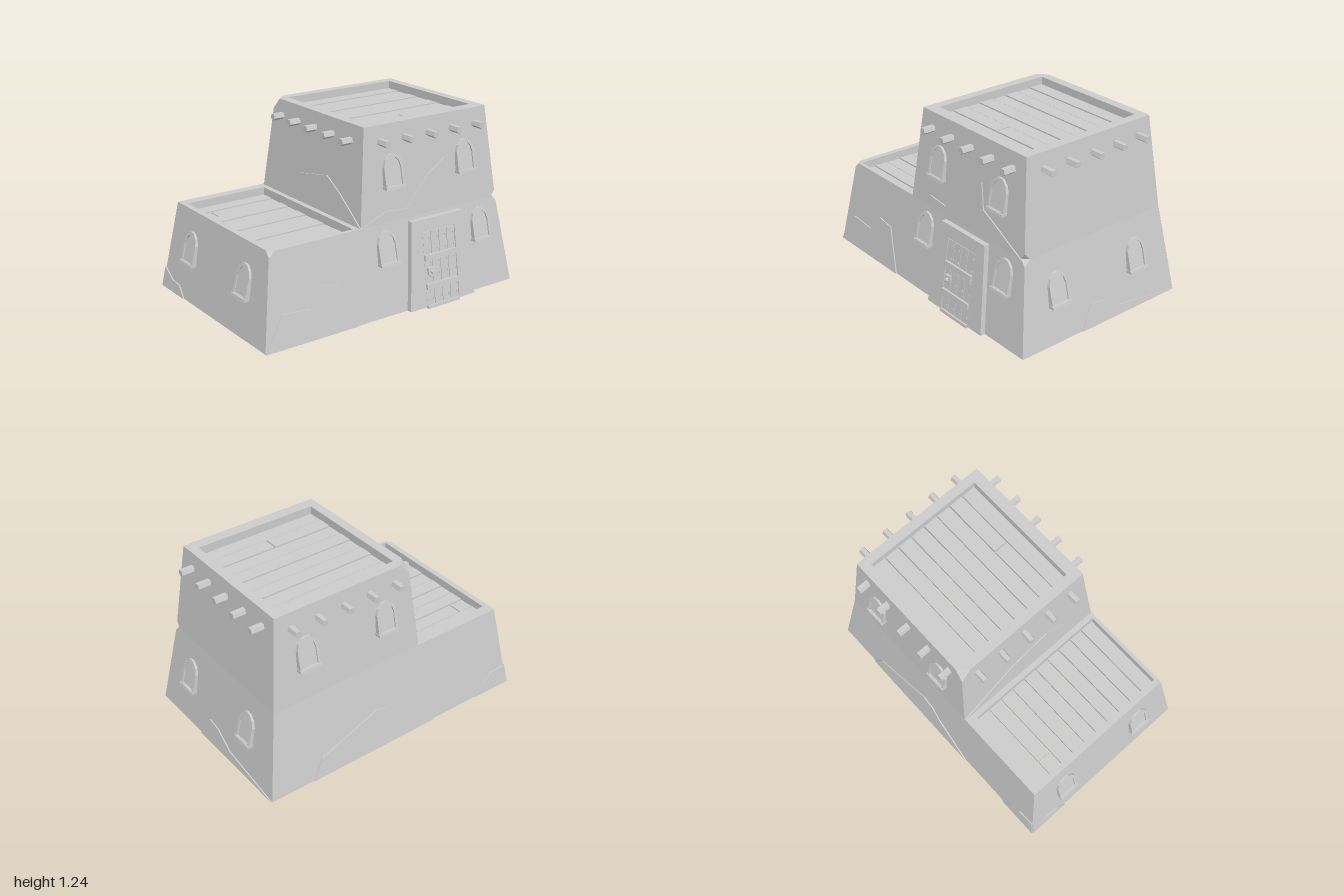
import * as THREE from 'three';

const mat = new THREE.MeshStandardMaterial({ color: 0xcccccc, flatShading: true, side: THREE.DoubleSide });

// Each wall: horizontal axis u, outward normal n, base and top distance of the lower and upper storey
const SIDES = {
  front: { u: [1, 0], n: [0, 1], low: [0.635, 0.545], high: [0.545, 0.48] },
  right: { u: [0, -1], n: [1, 0], low: [1, 0.905], high: [0.905, 0.835] },
  back: { u: [-1, 0], n: [0, -1], low: [0.68, 0.59], high: [0.59, 0.525] },
  left: { u: [0, 1], n: [-1, 0], low: [1, 0.905], high: [0.23, 0.165] },
};
const Y0 = 0.01, Y1 = 0.615, Y2 = 1.24;

function add(parent, name, geometry) {
  const mesh = new THREE.Mesh(geometry, mat);
  mesh.name = name;
  parent.add(mesh);
  return mesh;
}

// Sheared frame lying on a sloping wall: (along, up, outward) -> world
function wallMatrix(side, level, along = 0, y = 0, lean = 0) {
  const { u, n } = SIDES[side], d = SIDES[side][level];
  const ya = level === 'low' ? Y0 : Y1, yb = level === 'low' ? Y1 : Y2;
  const slope = (d[0] - d[1]) / (yb - ya);
  const dist = d[0] - slope * (y - ya);
  const s = slope + lean;
  return new THREE.Matrix4().set(
    u[0], -s * n[0], n[0], u[0] * along + n[0] * dist,
    0, 1, 0, y,
    u[1], -s * n[1], n[1], u[1] * along + n[1] * dist,
    0, 0, 0, 1);
}

function extrude(points, depth, hole) {
  const shape = new THREE.Shape(points.map(p => new THREE.Vector2(...p)));
  if (hole) shape.holes.push(new THREE.Path(hole.map(p => new THREE.Vector2(...p))));
  return new THREE.ExtrudeGeometry(shape, { depth, bevelEnabled: false });
}

function box(w, h, d, x, y, z) {
  return new THREE.BoxGeometry(w, h, d).translate(x, y, z);
}

// Rectangular cross-section; chips cut the corners (front right, back right, back left, front left)
function ring(y, x0, x1, z0, z1, chips = []) {
  const corners = [[x1, z1], [x1, z0], [x0, z0], [x0, z1]];
  const inDir = [[1, 0], [0, -1], [-1, 0], [0, 1]];
  return corners.flatMap(([x, z], k) => {
    const c = chips[k] || 0.003, a = inDir[k], b = inDir[(k + 1) % 4];
    return [[x - a[0] * c, y, z - a[1] * c], [x + b[0] * c, y, z + b[1] * c]];
  });
}

function loft(rings) {
  const pos = [];
  for (let i = 0; i + 1 < rings.length; i++) {
    for (let j = 0; j < 8; j++) {
      const k = (j + 1) % 8;
      const a = rings[i][j], b = rings[i][k], c = rings[i + 1][k], d = rings[i + 1][j];
      pos.push(...a, ...b, ...c, ...a, ...c, ...d);
    }
  }
  const g = new THREE.BufferGeometry();
  g.setAttribute('position', new THREE.Float32BufferAttribute(pos, 3));
  g.computeVertexNormals();
  return g;
}

// Outer wall section at height y of a storey
function wallRing(level, y, chips) {
  const t = level === 'low' ? (y - Y0) / (Y1 - Y0) : (y - Y1) / (Y2 - Y1);
  const at = s => THREE.MathUtils.lerp(...SIDES[s][level], t);
  return ring(y, -at('left'), at('right'), -at('back'), at('front'), chips);
}

// Plank deck, with optional butt joints {row: x}
function deck(parent, name, x0, x1, z0, z1, y, rows, joints) {
  const group = new THREE.Group();
  group.name = name;
  const step = (z1 - z0) / rows, gap = 0.008;
  for (let i = 0; i < rows; i++) {
    const z = z0 + step * (i + 0.5), cut = joints[i];
    const spans = cut === undefined ? [[x0, x1]] : [[x0, cut - gap / 2], [cut + gap / 2, x1]];
    for (const [a, b] of spans) {
      add(group, 'plank', box(b - a, 0.025, step - gap, (a + b) / 2, y - 0.004 * (i % 2), z));
    }
  }
  parent.add(group);
}

// Low-poly pointed arch outline
function arch(w, h, y = 0) {
  return [[-w, y], [w, y], [w, h * 0.64], [w * 0.8, h * 0.84], [w * 0.4, h * 0.965], [0, h],
    [-w * 0.4, h * 0.965], [-w * 0.8, h * 0.84], [-w, h * 0.64]];
}

function addWindow(parent, side, level, along, y) {
  const group = new THREE.Group();
  group.name = 'window';
  const m = wallMatrix(side, level, along, y, 0.1);
  const frame = extrude(arch(0.075, 0.22), 0.065, arch(0.058, 0.2, 0.02)).translate(0, 0, -0.03);
  add(group, 'windowFrame', frame.applyMatrix4(m));
  add(group, 'windowPane', extrude(arch(0.06, 0.202, 0.015), 0.03).translate(0, 0, -0.005).applyMatrix4(m));
  add(group, 'windowSill', box(0.156, 0.018, 0.065, 0, 0.009, 0.01).applyMatrix4(m));
  parent.add(group);
}

function addDoor(parent) {
  const group = new THREE.Group();
  group.name = 'door';
  const m = wallMatrix('front', 'low', 0.36, Y0);
  const put = (name, g) => add(group, name, g.applyMatrix4(m));
  put('doorSurround', extrude([[-0.275, 0], [-0.135, 0], [-0.135, 0.495], [0.14, 0.495], [0.14, 0],
    [0.275, 0], [0.215, 0.58], [-0.215, 0.58]], 0.065).translate(0, 0, -0.03));
  // Four boards with rows of nails
  for (let i = 0; i < 4; i++) {
    const x = -0.1 + i * 0.068;
    put('doorBoard', box(0.064, 0.5, 0.025, x, 0.24, 0.02));
    for (let r = 0; r < 6; r++) put('doorNail', box(0.007, 0.012, 0.008, x + 0.02, 0.05 + r * 0.08, 0.034));
  }
  for (const y of [0.135, 0.327]) put('doorBand', box(0.265, 0.036, 0.02, 0, y, 0.037));
  // Lock plate with knob
  put('lockPlate', extrude([[0, -0.035], [0.028, -0.01], [0.028, 0.03], [-0.028, 0.03], [-0.028, -0.01]], 0.015)
    .translate(-0.087, 0.228, 0.032));
  put('lockKnob', new THREE.CylinderGeometry(0.008, 0.014, 0.018, 6).rotateX(Math.PI / 2).translate(-0.087, 0.232, 0.055));
  put('threshold', box(0.27, 0.02, 0.045, 0.003, 0, 0.022));
  parent.add(group);
}

export function createModel() {
  const model = new THREE.Group();
  model.name = 'adobeHouse';

  // Hollow sloping walls, open below, with a few chipped corners
  add(model, 'lowerWalls', loft([
    wallRing('low', Y0), wallRing('low', 0.58), wallRing('low', Y1, [0.04, 0, 0, 0.04])]));
  add(model, 'lowerParapet', loft([
    ring(Y1, -0.905, -0.2, -0.59, 0.545, [0, 0, 0, 0.04]),
    ring(Y1, -0.865, -0.275, -0.52, 0.52), ring(0.53, -0.865, -0.275, -0.52, 0.52)]));
  add(model, 'upperWalls', loft([
    wallRing('high', Y1, [0.04]), wallRing('high', 0.655), wallRing('high', 1.165),
    wallRing('high', Y2, [0, 0, 0.06, 0]),
    ring(Y2, -0.1, 0.77, -0.46, 0.4), ring(1.15, -0.1, 0.77, -0.46, 0.4)]));

  // Recessed plank roofs
  deck(model, 'lowerRoof', -0.868, -0.272, -0.522, 0.522, 0.55, 10, { 1: -0.755 });
  deck(model, 'upperRoof', -0.103, 0.773, -0.462, 0.402, 1.175, 8, { 6: 0.335 });

  // Broken plaster layers: outlines as (along, height)
  const plaster = [
    ['front', 'low', [[-1, 0.01], [-0.32, 0.01], [-0.43, 0.31], [-0.565, 0.33], [-0.66, 0.21], [-0.86, 0.225]]],
    ['right', 'low', [[-0.15, 0.01], [0.68, 0.01], [0.19, 0.075], [0.04, 0.155], [-0.06, 0.17]]],
    ['back', 'low', [[-0.68, 0.01], [0.31, 0.01], [0.02, 0.19], [-0.06, 0.27], [-0.15, 0.3], [-0.38, 0.22], [-0.6, 0.15]]],
    ['back', 'low', [[0.7, 0.01], [1, 0.01], [0.975, 0.15], [0.85, 0.14], [0.77, 0.08]]],
    ['left', 'low', [[-0.68, 0.01], [-0.38, 0.01], [-0.45, 0.08], [-0.55, 0.09], [-0.66, 0.15]]],
    ['front', 'high', [[-0.23, 0.615], [0.87, 0.615], [0.65, 0.72], [0.5, 0.79], [0.465, 0.955], [0.31, 0.86],
      [0.13, 0.675], [-0.03, 0.69]]],
    ['left', 'high', [[-0.59, 0.615], [0.545, 0.615], [0.3, 0.78], [0.15, 0.86], [-0.17, 0.8]]],
  ];
  for (const [side, level, outline] of plaster) {
    const g = extrude(outline.map(([u, y]) => [u, y]), 0.012).translate(0, 0, -0.004);
    add(model, 'plasterPatch', g.applyMatrix4(wallMatrix(side, level)));
  }

  // Roof beam ends on all four sides
  for (let i = 0; i < 5; i++) {
    const x = -0.05 + i * 0.195, z = 0.36 - i * 0.194;
    const ends = [['front', x, 0.575], ['back', -x, 0.615], ['right', -z, 0.935], ['left', z, 0.255]];
    for (const [side, along, reach] of ends) {
      const { u, n } = SIDES[side];
      const beam = add(model, 'beamEnd', new THREE.CylinderGeometry(0.025, 0.025, 0.12, 5).rotateX(Math.PI / 2));
      const d = reach - 0.06;
      beam.position.set(u[0] * along + n[0] * d, 1.135, u[1] * along + n[1] * d);
      beam.rotation.y = Math.atan2(n[0], n[1]);
    }
  }

  // Windows
  for (const x of [0.035, 0.635]) {
    addWindow(model, 'front', 'high', x, 0.83);
    addWindow(model, 'back', 'high', -x, 0.83);
  }
  for (const x of [-0.045, 0.745]) addWindow(model, 'front', 'low', x, 0.35);
  for (const z of [0.32, -0.345]) {
    addWindow(model, 'right', 'low', -z, 0.262);
    addWindow(model, 'left', 'low', z, 0.262);
  }

  addDoor(model);
  return model;
}
